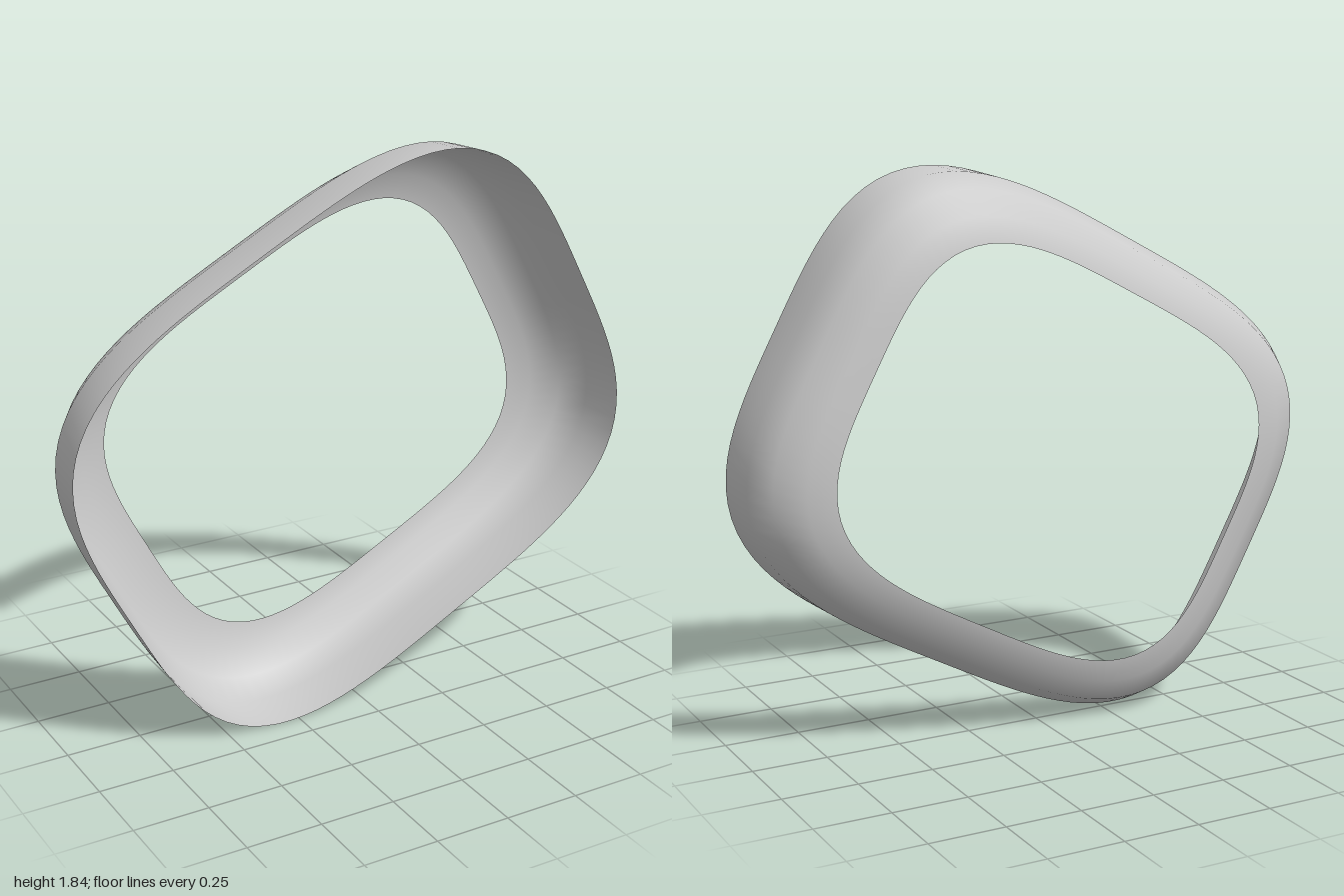
import * as THREE from 'three';

// Tilted superellipse outline, as a point at a polar angle
const A = 0.933, B = 0.76, POWER = 3.5, TILT = THREE.MathUtils.degToRad(28);
const SEGMENTS = 128, CENTRE_Y = 0.916;

function outlinePoint(angle) {
  const c = Math.cos(angle), s = Math.sin(angle);
  const r = (Math.abs(c / A) ** POWER + Math.abs(s / B) ** POWER) ** (-1 / POWER);
  return new THREE.Vector2(r * Math.cos(angle + TILT), r * Math.sin(angle + TILT));
}

// Cross-section from the open front rim to the inner back rim: [outline scale, z]
const PROFILE = [[1, 0.16], [0.99, 0], [0.94, -0.09], [0.85, -0.142], [0.762, -0.16]];

function shellGeometry() {
  const positions = [], indices = [];
  for (const [scale, z] of PROFILE) {
    for (let i = 0; i < SEGMENTS; i++) {
      const p = outlinePoint((i / SEGMENTS) * Math.PI * 2);
      positions.push(p.x * scale, p.y * scale, z);
    }
  }
  // Join neighbouring rings, faces outwards
  for (let j = 0; j < PROFILE.length - 1; j++) {
    for (let i = 0; i < SEGMENTS; i++) {
      const next = (i + 1) % SEGMENTS;
      const a = j * SEGMENTS + i, b = j * SEGMENTS + next;
      const c = a + SEGMENTS, d = b + SEGMENTS;
      indices.push(a, c, b, b, c, d);
    }
  }
  const geometry = new THREE.BufferGeometry();
  geometry.setAttribute('position', new THREE.Float32BufferAttribute(positions, 3));
  geometry.setIndex(indices);
  geometry.computeVertexNormals();
  return geometry;
}

export function createModel() {
  const group = new THREE.Group();
  group.name = 'bezel';
  // Thin open frame shell
  const material = new THREE.MeshStandardMaterial({ color: 0xcccccc, side: THREE.DoubleSide });
  const shell = new THREE.Mesh(shellGeometry(), material);
  shell.name = 'frameShell';
  shell.position.y = CENTRE_Y;
  group.add(shell);
  return group;
}
